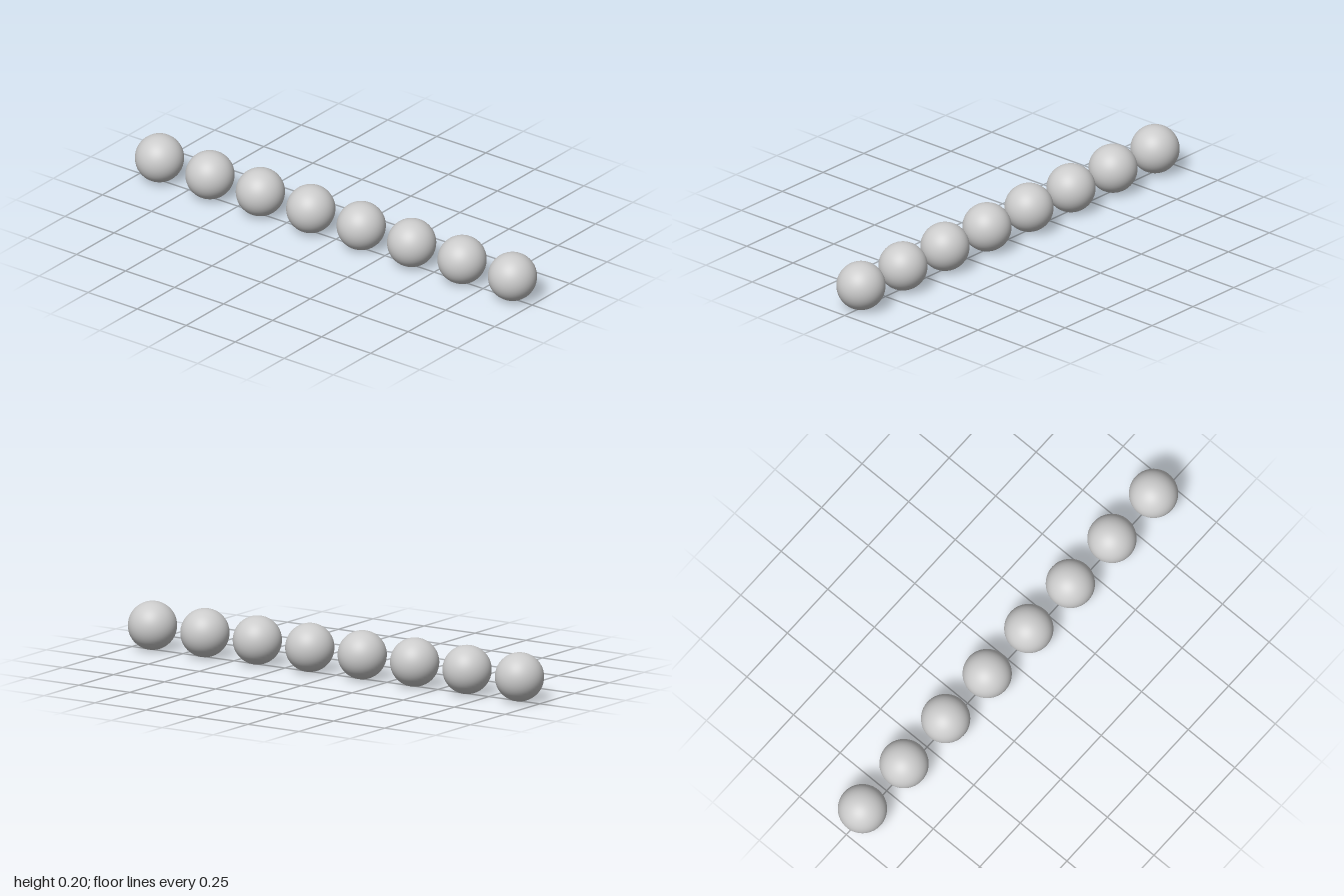
import * as THREE from 'three';

const COUNT = 8;
const RADIUS = 0.1;
const SPAN = 2 - 2 * RADIUS; // distance between the end ball centres

export function createModel() {
  const model = new THREE.Group();
  model.name = 'ballRow';

  const geometry = new THREE.SphereGeometry(RADIUS, 64, 32);
  const material = new THREE.MeshStandardMaterial({ color: 0xcccccc });

  // Evenly spaced row of identical balls resting on the ground
  for (let i = 0; i < COUNT; i++) {
    const ball = new THREE.Mesh(geometry, material);
    ball.name = `ball${i + 1}`;
    ball.position.set((i / (COUNT - 1) - 0.5) * SPAN, RADIUS, 0);
    model.add(ball);
  }

  return model;
}
